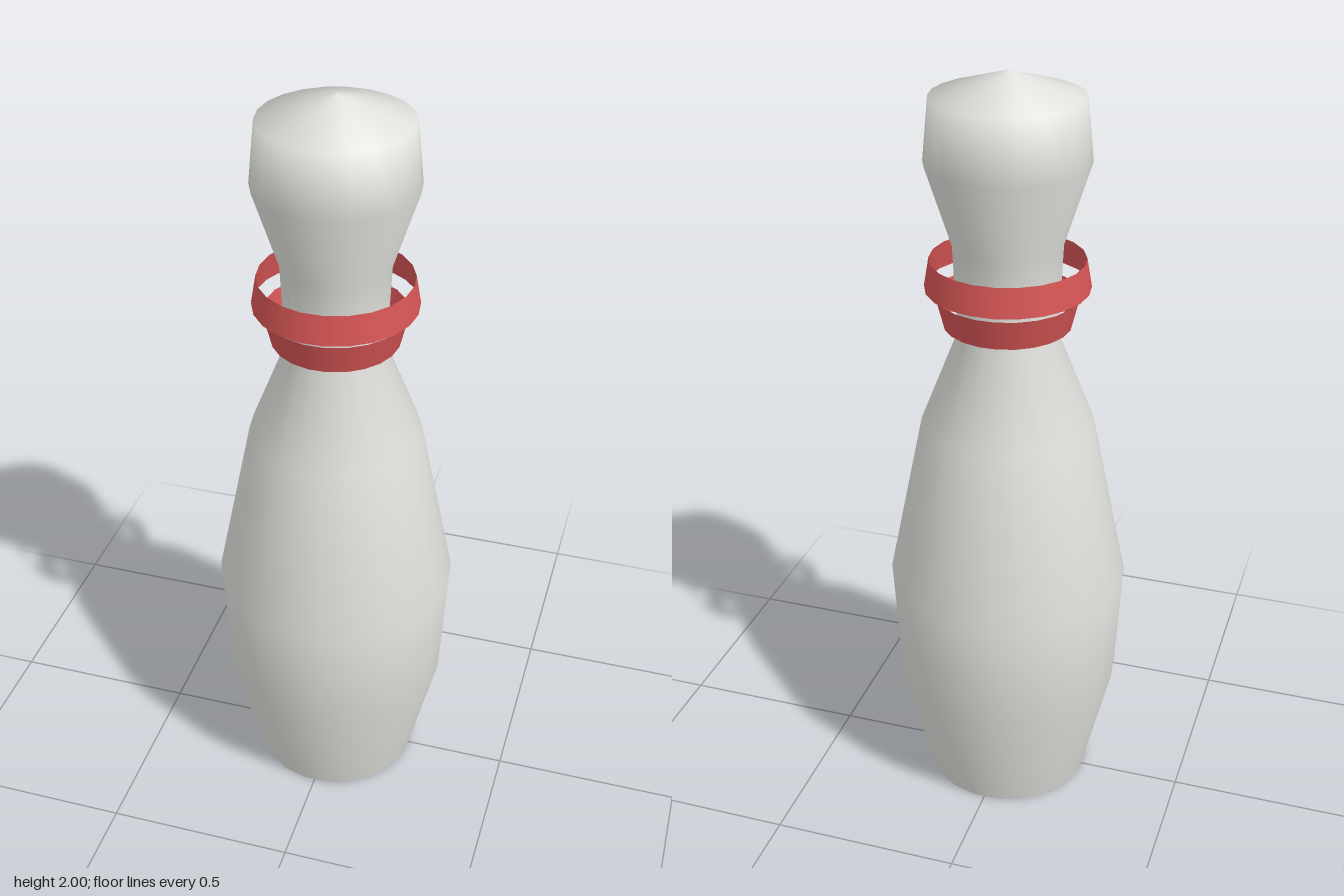
import * as THREE from 'three';

const SIDES = 22;

// Revolve [radius, height] pairs, with a corner on the x axis
function revolve(name, profile, material) {
  const points = profile.map(([r, y]) => new THREE.Vector2(r, y));
  const geometry = new THREE.LatheGeometry(points, SIDES, Math.PI / 2);
  const mesh = new THREE.Mesh(geometry, material);
  mesh.name = name;
  return mesh;
}

export function createModel() {
  const white = new THREE.MeshStandardMaterial({ color: 0xe0e0dc });
  white.name = 'pinWhite';
  const red = new THREE.MeshStandardMaterial({ color: 0xd65555, side: THREE.DoubleSide });
  red.name = 'bandRed';

  const model = new THREE.Group();
  model.name = 'bowlingPin';

  // Body, neck and head in one smooth skin
  model.add(revolve('body', [
    [0.222, 0], [0.3, 0.325], [0.317, 0.635], [0.224, 1.09], [0.127, 1.335],
    [0.138, 1.57], [0.205, 1.78], [0.189, 1.94], [0, 2],
  ], white));

  // Flat underside
  model.add(revolve('base', [[0, 0], [0.222, 0]], white));

  // Two loose, open bands round the neck
  model.add(revolve('lowerBand', [[0.163, 1.36], [0.183, 1.44]], red));
  model.add(revolve('upperBand', [[0.209, 1.46], [0.196, 1.535]], red));

  return model;
}
